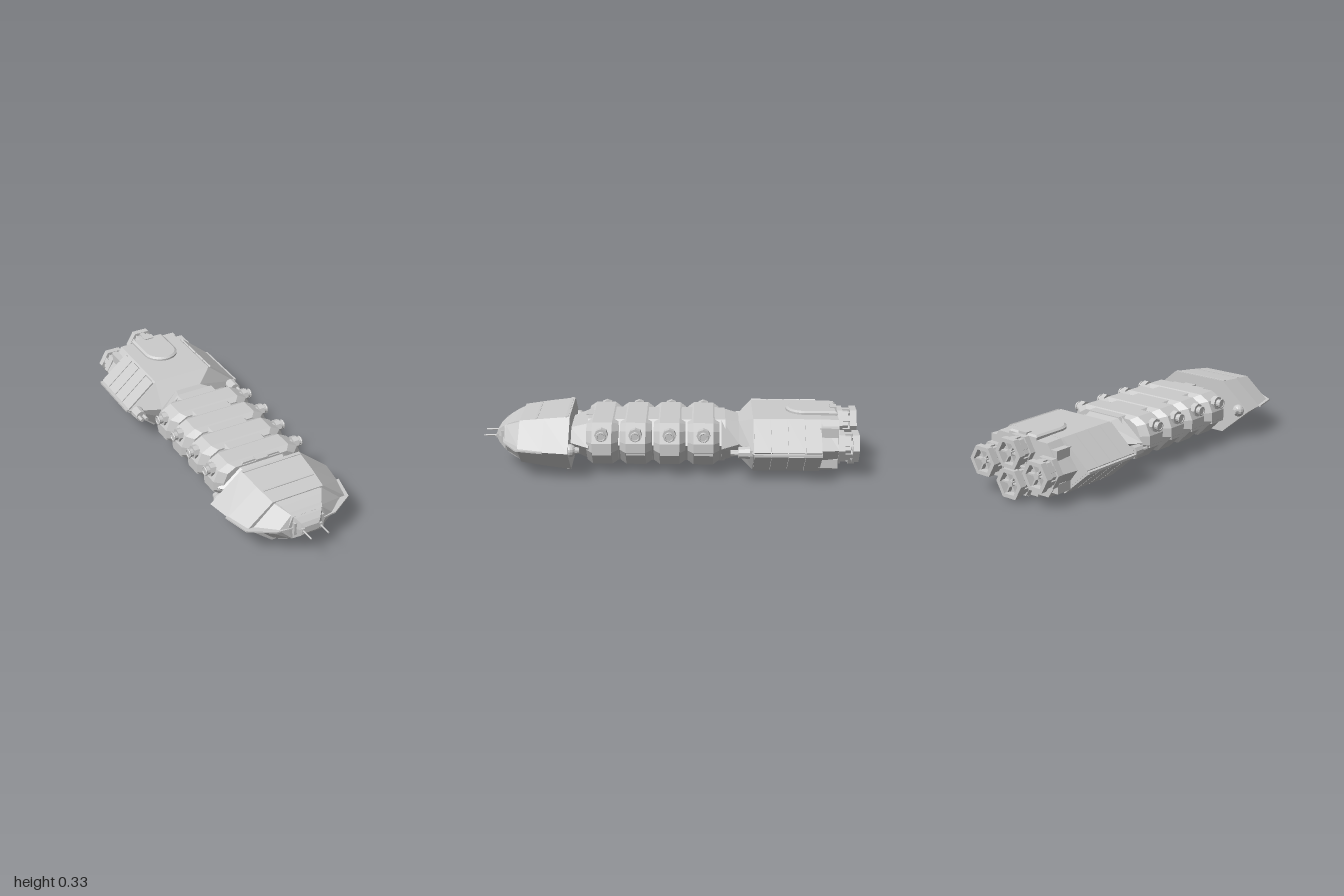
import * as THREE from 'three';

const MID = 0.172;
const mat = new THREE.MeshStandardMaterial({ color: 0xcccccc, flatShading: true });

// six-sided ring: a = half width of the flat top, w = half width at mid height, h = half height
const hex = (z, a, w, h) => [[w, 0], [a, h], [-a, h], [-w, 0], [-a, -h], [a, -h]].map(([x, y]) => [x, y + MID, z]);

// skin over rings ordered by rising z, each counter-clockwise seen from +z
function loft(rings) {
  const p = [];
  const n = rings[0].length;
  for (let i = 0; i < rings.length - 1; i++) {
    const A = rings[i], B = rings[i + 1];
    for (let j = 0; j < n; j++) {
      const k = (j + 1) % n;
      p.push(...A[j], ...A[k], ...B[k], ...A[j], ...B[k], ...B[j]);
    }
  }
  const S = rings[0], E = rings[rings.length - 1];
  for (let j = 1; j < n - 1; j++) p.push(...S[0], ...S[j + 1], ...S[j], ...E[0], ...E[j], ...E[j + 1]);
  const g = new THREE.BufferGeometry();
  g.setAttribute('position', new THREE.Float32BufferAttribute(p, 3));
  g.computeVertexNormals();
  return g;
}

export function createModel() {
  const root = new THREE.Group();
  const add = (name, geo, x = 0, y = 0, z = 0, parent = root) => {
    const m = new THREE.Mesh(geo, mat);
    m.name = name;
    m.position.set(x, y, z);
    parent.add(m);
    return m;
  };
  const box = (name, w, h, d, x, y, z, parent) => add(name, new THREE.BoxGeometry(w, h, d), x, y, z, parent);
  const tubeZ = (r1, r2, len, sides) => new THREE.CylinderGeometry(r1, r2, len, sides).rotateX(Math.PI / 2);

  // head shell, cheeks and rounded nose
  add('headShell', loft([hex(0.52, 0.17, 0.345, 0.147), hex(0.66, 0.16, 0.322, 0.132), hex(0.79, 0.145, 0.285, 0.116)]));
  add('headCheeks', loft([hex(0.785, 0.14, 0.26, 0.108), hex(0.872, 0.088, 0.155, 0.072), hex(0.882, 0.085, 0.11, 0.066)]));
  add('nose', loft([
    hex(0.78, 0.13, 0.15, 0.114), hex(0.82, 0.115, 0.13, 0.1), hex(0.86, 0.095, 0.105, 0.08),
    hex(0.89, 0.075, 0.082, 0.06), hex(0.915, 0.055, 0.06, 0.038), hex(0.928, 0.04, 0.045, 0.018),
  ]));
  for (const s of [1, -1]) {
    box('headRidge', 0.34, 0.006, 0.014, 0, MID + s * 0.145, 0.535);
    box('headSeam', 0.29, 0.004, 0.01, 0, MID + s * 0.128, 0.7);
  }

  // thin trim following the widest edge of the head
  for (const s of [1, -1]) {
    const path = [[0.315, 0.655], [0.334, 0.655], [0.298, 0.8], [0.17, 0.88], [0.085, 0.89], [0.085, 0.86], [0.15, 0.86], [0.27, 0.78]];
    const shape = new THREE.Shape(path.map(([x, z]) => new THREE.Vector2(s * x, -z)));
    const g = new THREE.ExtrudeGeometry(shape, { depth: 0.008, bevelEnabled: false }).rotateX(-Math.PI / 2);
    add('edgeTrim', g, 0, MID - 0.004, 0);
    // antennas and their mounts
    box('antennaMount', 0.044, 0.07, 0.05, s * 0.063, MID, 0.875);
    box('antennaSocket', 0.016, 0.024, 0.04, s * 0.05, MID, 0.91);
    add('antenna', tubeZ(0.004, 0.006, 0.12, 6), s * 0.05, MID, 0.94);
    // rear thrusters of the head
    add('headThruster', new THREE.SphereGeometry(0.034, 12, 8), s * 0.285, MID, 0.512);
    add('headThrusterNozzle', tubeZ(0.022, 0.016, 0.03, 10), s * 0.285, MID, 0.478);
  }

  // spine and tapered connectors
  add('spine', loft([hex(-0.3, 0.105, 0.2, 0.116), hex(0.43, 0.105, 0.2, 0.116)]));
  add('neck', loft([hex(0.42, 0.13, 0.25, 0.1), hex(0.525, 0.1, 0.165, 0.065)]));
  add('waist', loft([hex(-0.375, 0.075, 0.17, 0.095), hex(-0.28, 0.105, 0.25, 0.115)]));
  box('spineHatch', 0.07, 0.006, 0.1, 0, MID + 0.116, 0.395);

  // cargo modules: eight-sided bevelled bodies with side ports
  const oct = (z, k) => {
    const q = [[0.262, 0.03], [0.235, 0.09], [0.18, 0.12], [-0.18, 0.12], [-0.235, 0.09], [-0.262, 0.03],
      [-0.262, -0.02], [-0.165, -0.116], [0.165, -0.116], [0.262, -0.02]];
    return q.map(([x, y]) => [x * k, MID + y * (0.2 + 0.8 * k), z]);
  };
  for (const z of [0.35, 0.172, -0.006, -0.184]) {
    const mod = new THREE.Group();
    mod.name = 'cargoModule';
    mod.position.z = z;
    root.add(mod);
    add('moduleBody', loft([oct(-0.084, 0.84), oct(-0.052, 1), oct(0.052, 1), oct(0.084, 0.84)]), 0, 0, 0, mod);
    for (const s of [1, -1]) {
      add('portCollar', new THREE.CylinderGeometry(0.036, 0.036, 0.03, 8).rotateZ(Math.PI / 2), s * 0.247, 0.247, 0, mod);
      add('port', new THREE.CylinderGeometry(0.022, 0.022, 0.07, 12).rotateZ(Math.PI / 2), s * 0.25, 0.247, 0, mod);
      add('portRim', new THREE.TorusGeometry(0.022, 0.005, 6, 12).rotateY(Math.PI / 2), s * 0.284, 0.247, 0, mod);
      box('lowerPanel', 0.02, 0.05, 0.1, s * 0.25, MID - 0.01, 0, mod);
    }
  }

  // engine block: flared front, armoured middle, narrower tail
  add('engineBlock', loft([hex(-0.8, 0.168, 0.335, 0.142), hex(-0.445, 0.168, 0.335, 0.142), hex(-0.372, 0.075, 0.165, 0.095)]));
  add('engineTail', loft([hex(-0.895, 0.165, 0.262, 0.138), hex(-0.79, 0.165, 0.275, 0.141)]));

  // sloped armour plates along the four flanks
  const slope = Math.atan2(0.142, 0.167);
  for (const s of [1, -1]) {
    for (const t of [1, -1]) {
      for (let i = 0; i < 4; i++) {
        const plate = box('armourPlate', 0.2, 0.01, 0.084, s * 0.256, MID + t * 0.073, -0.49 - i * 0.089);
        plate.rotation.z = -s * t * slope;
      }
      box('tailBlock', 0.05, 0.05, 0.1, s * 0.2, MID + t * 0.085, -0.84);
    }
    // edge rail and forward gun pod
    box('edgeRail', 0.02, 0.012, 0.35, s * 0.34, MID, -0.625);
    box('podMount', 0.03, 0.03, 0.06, s * 0.295, MID, -0.43);
    add('pod', tubeZ(0.03, 0.034, 0.06, 10), s * 0.298, MID, -0.395);
    for (const dx of [-0.014, 0.014]) add('podBarrel', tubeZ(0.01, 0.01, 0.05, 8), s * 0.298 + dx, MID, -0.35);
  }

  // rounded fairings above and below
  const fair = new THREE.Shape();
  fair.moveTo(-0.095, 0.895);
  fair.lineTo(0.095, 0.895);
  fair.lineTo(0.095, 0.72);
  fair.absarc(0, 0.72, 0.095, 0, -Math.PI, true);
  fair.closePath();
  const fairGeo = new THREE.ExtrudeGeometry(fair, {
    depth: 0.03, bevelThickness: 0.008, bevelSize: 0.012, bevelOffset: -0.012, bevelSegments: 1, curveSegments: 8,
  }).rotateX(-Math.PI / 2);
  for (const s of [1, -1]) {
    const f = add('fairing', fairGeo, 0, MID + s * 0.122, 0);
    if (s < 0) f.rotation.z = Math.PI;
    box('fairingCap', 0.056, 0.03, 0.035, 0, MID + s * 0.15, -0.878);
  }

  // four six-sided engines in a diamond, each with hub and spokes
  const R = 0.085;
  const hexHole = (r) => Array.from({ length: 6 }, (_, i) => new THREE.Vector2(r * Math.cos(i * Math.PI / 3), r * Math.sin(i * Math.PI / 3)));
  const rim = (r, inner, depth) => {
    const sh = new THREE.Shape(hexHole(r));
    sh.holes.push(new THREE.Path(hexHole(inner)));
    return new THREE.ExtrudeGeometry(sh, { depth, bevelEnabled: false });
  };
  for (const [x, y] of [[0.18, 0], [-0.18, 0], [0, 0.078], [0, -0.078]]) {
    const e = new THREE.Group();
    e.name = 'engine';
    e.position.set(x, MID + y, 0);
    root.add(e);
    add('engineBody', tubeZ(0.074, 0.074, 0.12, 6).rotateZ(Math.PI / 2), 0, 0, -0.895, e);
    add('engineRim', rim(R, 0.062, 0.035), 0, 0, -1, e);
    add('engineCollar', rim(R, 0.06, 0.035), 0, 0, -0.925, e);
    add('engineHub', tubeZ(0.024, 0.018, 0.04, 6), 0, 0, -0.97, e);
    for (let i = 0; i < 6; i++) {
      const a = i * Math.PI / 3;
      const spoke = box('engineSpoke', 0.055, 0.008, 0.025, Math.cos(a) * 0.042, Math.sin(a) * 0.042, -0.972, e);
      spoke.rotation.z = a;
      const rib = box('engineRib', 0.014, 0.03, 0.08, Math.cos(a + Math.PI / 6) * 0.064, Math.sin(a + Math.PI / 6) * 0.064, -0.945, e);
      rib.rotation.z = a + Math.PI / 6;
    }
  }
  return root;
}
